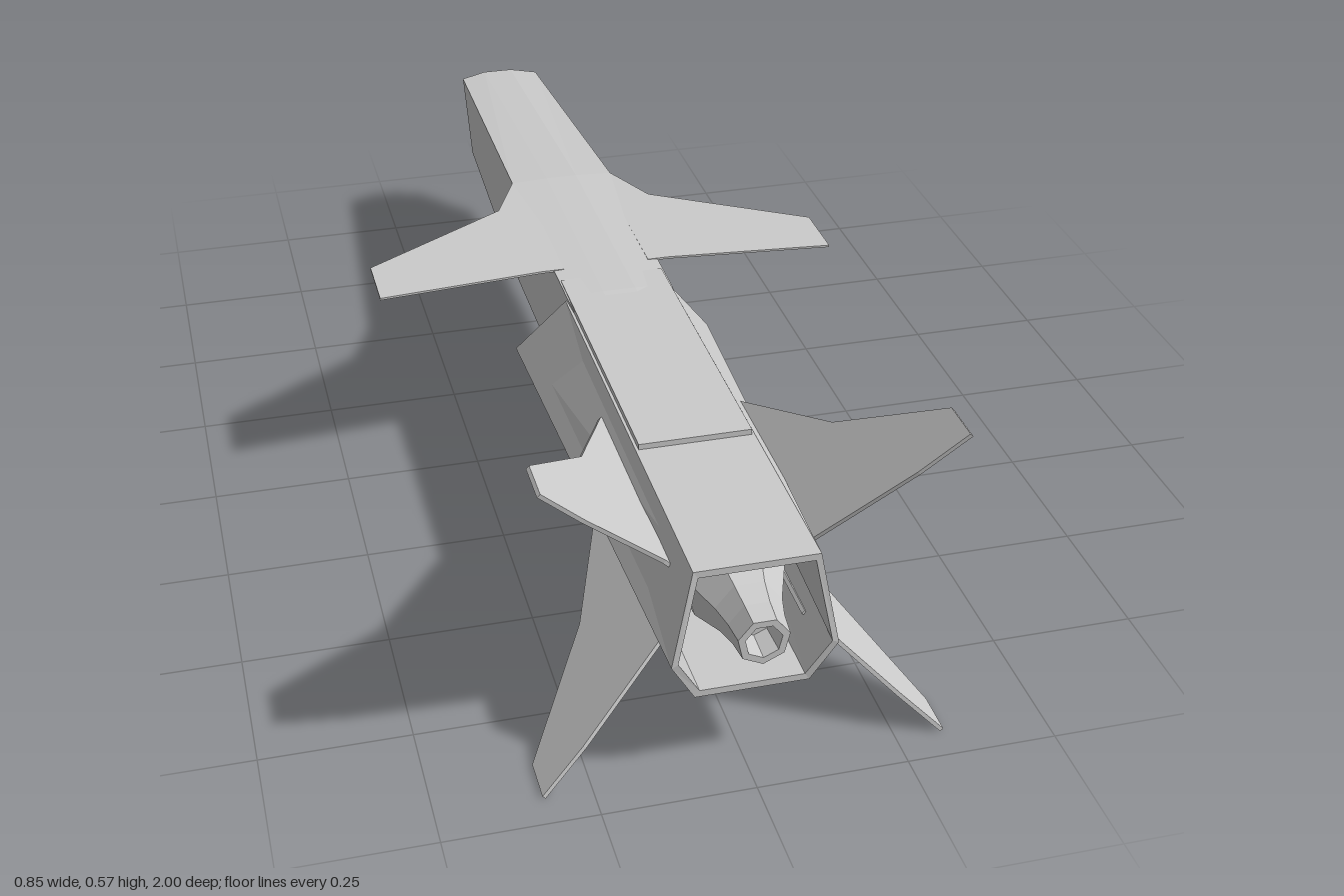
import * as THREE from 'three';

const mat = new THREE.MeshStandardMaterial({ color: 0xcccccc, flatShading: true, side: THREE.DoubleSide });

// Skin a list of rings (counter-clockwise seen from +z, ordered towards +z)
function loft(rings, capped) {
  const pos = [];
  const tri = (...pts) => pts.forEach(p => pos.push(...p));
  const n = rings[0].length;
  for (let i = 0; i < rings.length - 1; i++) {
    for (let j = 0; j < n; j++) {
      const k = (j + 1) % n, a = rings[i], b = rings[i + 1];
      tri(a[j], a[k], b[k]);
      tri(a[j], b[k], b[j]);
    }
  }
  if (capped) {
    const first = rings[0], last = rings[rings.length - 1];
    for (let j = 1; j < n - 1; j++) {
      tri(first[0], first[j + 1], first[j]);
      tri(last[0], last[j], last[j + 1]);
    }
  }
  const g = new THREE.BufferGeometry();
  g.setAttribute('position', new THREE.Float32BufferAttribute(pos, 3));
  g.computeVertexNormals();
  return g;
}

// Thin flat plate from an outline given as [span, z]
function plate(points, thickness) {
  const shape = new THREE.Shape(points.map(p => new THREE.Vector2(...p)));
  const g = new THREE.ExtrudeGeometry(shape, { depth: thickness, bevelEnabled: false });
  return g.translate(0, 0, -thickness / 2).rotateX(Math.PI / 2);
}

export function createModel() {
  const model = new THREE.Group();
  const add = (name, geometry, parent = model) => {
    const mesh = new THREE.Mesh(geometry, mat);
    mesh.name = name;
    parent.add(mesh);
    return mesh;
  };

  // Fuselage: [z, half top width, top, half bottom width, bottom, nose bulge, nose slant]
  const section = ([z, tw, top, bw, bot, bulge = 0, slant = 0]) => [
    [bw, bot, z + bulge + slant], [tw, top, z + bulge],
    [0.03, top + 0.003, z], [-0.03, top + 0.003, z],
    [-tw, top, z + bulge], [-bw, bot, z + bulge + slant],
    [-0.03, bot - 0.002, z + slant], [0.03, bot - 0.002, z + slant],
  ];
  add('fuselage', loft([
    [-1, 0.083, 0.372, 0.075, 0.21, 0.02, 0.045],
    [-0.35, 0.1, 0.416, 0.092, 0.197],
    [0.12, 0.098, 0.414, 0.088, 0.186],
    [0.45, 0.08, 0.39, 0.07, 0.2],
  ].map(section), true));

  // Raised spine that carries the fuselage roof over the duct
  add('spine', new THREE.BoxGeometry(0.19, 0.012, 0.56).translate(0, 0.41, 0.34));

  // Hollow six-sided engine duct with swept intake lips
  const hexRing = (top, mid, bot) => [
    [bot[0], bot[1], bot[2]], [mid[0], mid[1], mid[2]], [top[0], top[1], top[2]],
    [-top[0], top[1], top[2]], [-mid[0], mid[1], mid[2]], [-bot[0], bot[1], bot[2]],
  ];
  const outerFront = hexRing([0.1, 0.406, 0.12], [0.183, 0.29, 0.07], [0.096, 0.16, 0.16]);
  const outerRear = hexRing([0.1, 0.406, 0.955], [0.133, 0.24, 0.965], [0.092, 0.168, 0.955]);
  const inset = ring => ring.map(([x, y, z]) => [x * 0.92, 0.287 + (y - 0.287) * 0.9, z]);
  add('engineDuct', loft([outerFront, outerRear, inset(outerRear), inset(outerFront), outerFront], false));

  // Engine core with stepped tail and open nozzle
  const core = new THREE.LatheGeometry([
    [0, 0.4], [0.09, 0.4], [0.095, 0.6], [0.082, 0.85], [0.055, 0.92],
    [0.046, 0.96], [0.042, 1], [0.03, 1], [0.026, 0.95], [0, 0.95],
  ].map(p => new THREE.Vector2(...p)), 7);
  add('engineNozzle', core.rotateX(Math.PI / 2).translate(0, 0.293, 0));

  // Wings, intake spikes and tail fins, mirrored left to right
  const wing = plate([[0.08, -0.35], [0.1, -0.35], [0.15, -0.24], [0.425, -0.07],
    [0.425, 0.048], [0.12, 0.02], [0.08, 0.02]], 0.004).translate(0, 0.414, 0);
  const spike = new THREE.ConeGeometry(0.03, 0.13, 4)
    .rotateX(-Math.PI / 2).translate(0.115, 0.29, 0.08);
  const s = Math.SQRT2;
  const fin = plate([[-0.012, 0.45], [0, 0.45], [0.09 * s, 0.69], [0.21 * s, 0.87],
    [0.21 * s, 0.945], [0.14 * s, 0.925], [0, 0.865], [-0.012, 0.865]], 0.007);

  for (const side of [1, -1]) {
    const half = new THREE.Group();
    half.name = side > 0 ? 'leftSurfaces' : 'rightSurfaces';
    half.scale.x = side;
    model.add(half);
    add('wing', wing, half);
    add('intakeSpike', spike, half);
    add('upperTailFin', fin.clone().rotateZ(Math.PI / 4).translate(0.118, 0.364, 0), half);
    add('lowerTailFin', fin.clone().rotateZ(-Math.PI / 4).translate(0.118, 0.218, 0), half);
  }
  return model;
}
